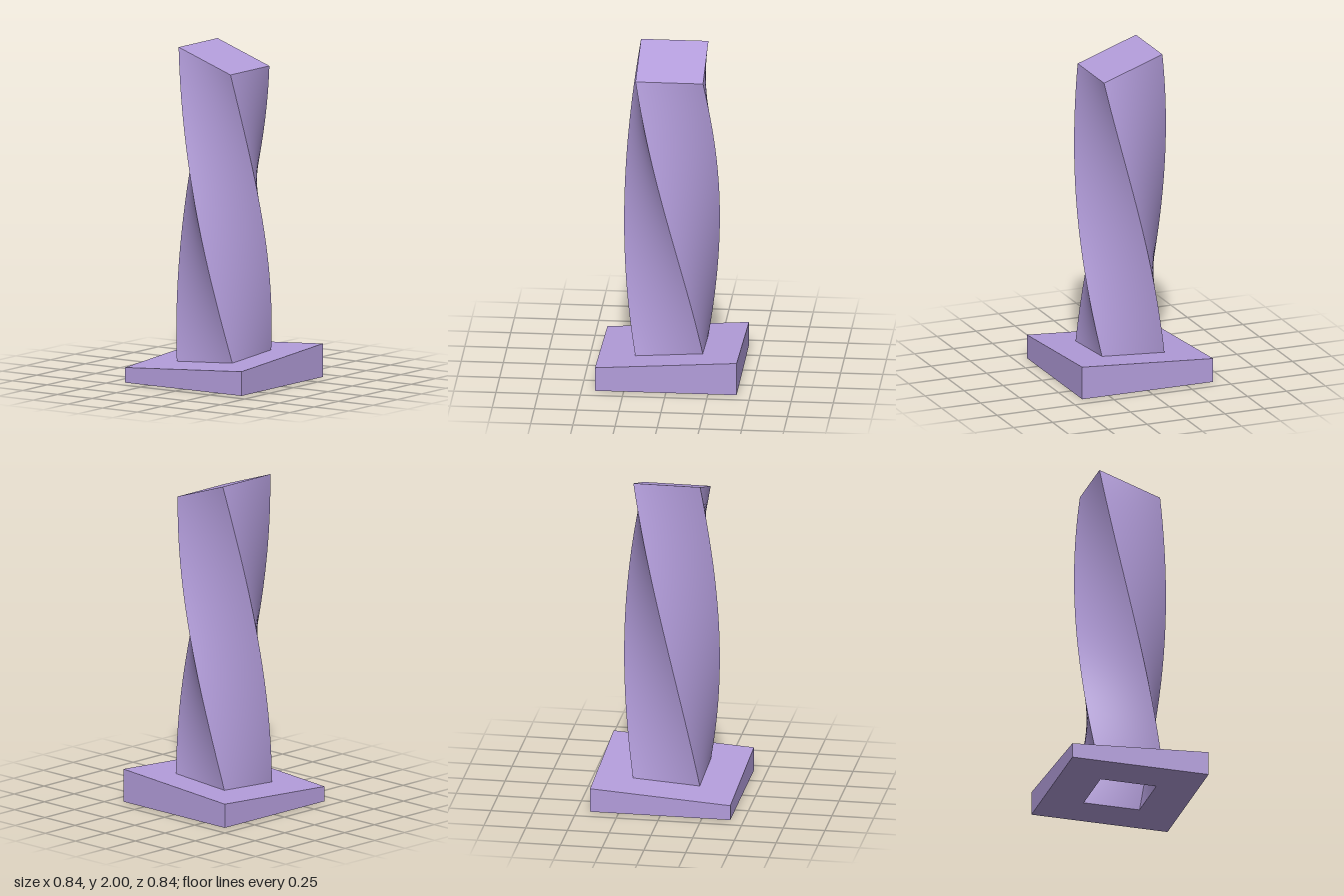
import * as THREE from 'three';
import { mergeGeometries } from 'three/addons/utils/BufferGeometryUtils.js';

const lerp = THREE.MathUtils.lerp;
const material = new THREE.MeshStandardMaterial({ color: 0xb39ddb });

// Sweeps a four-sided section; each side is its own smooth sheet, so corners stay sharp.
// section(v) gives { half, y, turn, slopeX, slopeZ, scaleX }.
function sweepSquare(section, nu = 1, nv = 1) {
  const sides = [];
  for (let k = 0; k < 4; k++) {
    const sheet = new THREE.PlaneGeometry(1, 1, nu, nv);
    const pos = sheet.attributes.position;
    for (let i = 0; i < pos.count; i++) {
      const u = pos.getX(i) * 2;
      const { half, y, turn = 0, slopeX = 0, slopeZ = 0, scaleX = 1 } = section(pos.getY(i) + 0.5);
      const a = turn + k * Math.PI / 2;
      const x = half * (u * Math.cos(a) - Math.sin(a)) * scaleX;
      const z = half * (u * Math.sin(a) + Math.cos(a));
      pos.setXYZ(i, x, y + slopeX * x + slopeZ * z, z);
    }
    sheet.computeVertexNormals();
    sides.push(sheet);
  }
  return mergeGeometries(sides);
}

function part(name, ...geometries) {
  const mesh = new THREE.Mesh(mergeGeometries(geometries), material);
  mesh.name = name;
  return mesh;
}

export function createModel() {
  const group = new THREE.Group();
  group.name = 'twistedColumn';

  const baseHalf = 0.42, columnHalf = 0.2, holeHalf = 0.172;
  const plane = { y: 0.145, slopeX: 0.065, slopeZ: -0.065 }; // sloping top of the base
  const flat = { y: 0 };

  // Square base with a sloping top and a square opening underneath
  group.add(part('base',
    sweepSquare(v => ({ ...flat, half: lerp(holeHalf, baseHalf, v) })),
    sweepSquare(v => ({
      half: baseHalf, y: plane.y * v, slopeX: plane.slopeX * v, slopeZ: plane.slopeZ * v,
    })),
    sweepSquare(v => ({ ...plane, half: lerp(baseHalf, columnHalf, v) })),
  ));

  // Quarter-turn section that gradually tilts towards the slanted top
  const twist = (t, half, foot, headY) => ({
    half,
    y: lerp(foot.y, headY, t),
    turn: t * Math.PI / 2,
    slopeX: lerp(foot.slopeX ?? 0, -0.35, t),
    slopeZ: lerp(foot.slopeZ ?? 0, 0, t),
    scaleX: lerp(1, 0.935, t),
  });

  // Column walls and slanted cap
  group.add(part('column',
    sweepSquare(t => twist(t, columnHalf, plane, 1.935), 12, 80),
    sweepSquare(v => twist(1, columnHalf * (1 - v), plane, 1.935)),
  ));

  // Hollow inside, open at the bottom
  group.add(part('cavity',
    sweepSquare(v => twist(1 - v, holeHalf, flat, 1.9), 12, 80),
    sweepSquare(v => twist(1, holeHalf * v, flat, 1.9)),
  ));

  return group;
}
